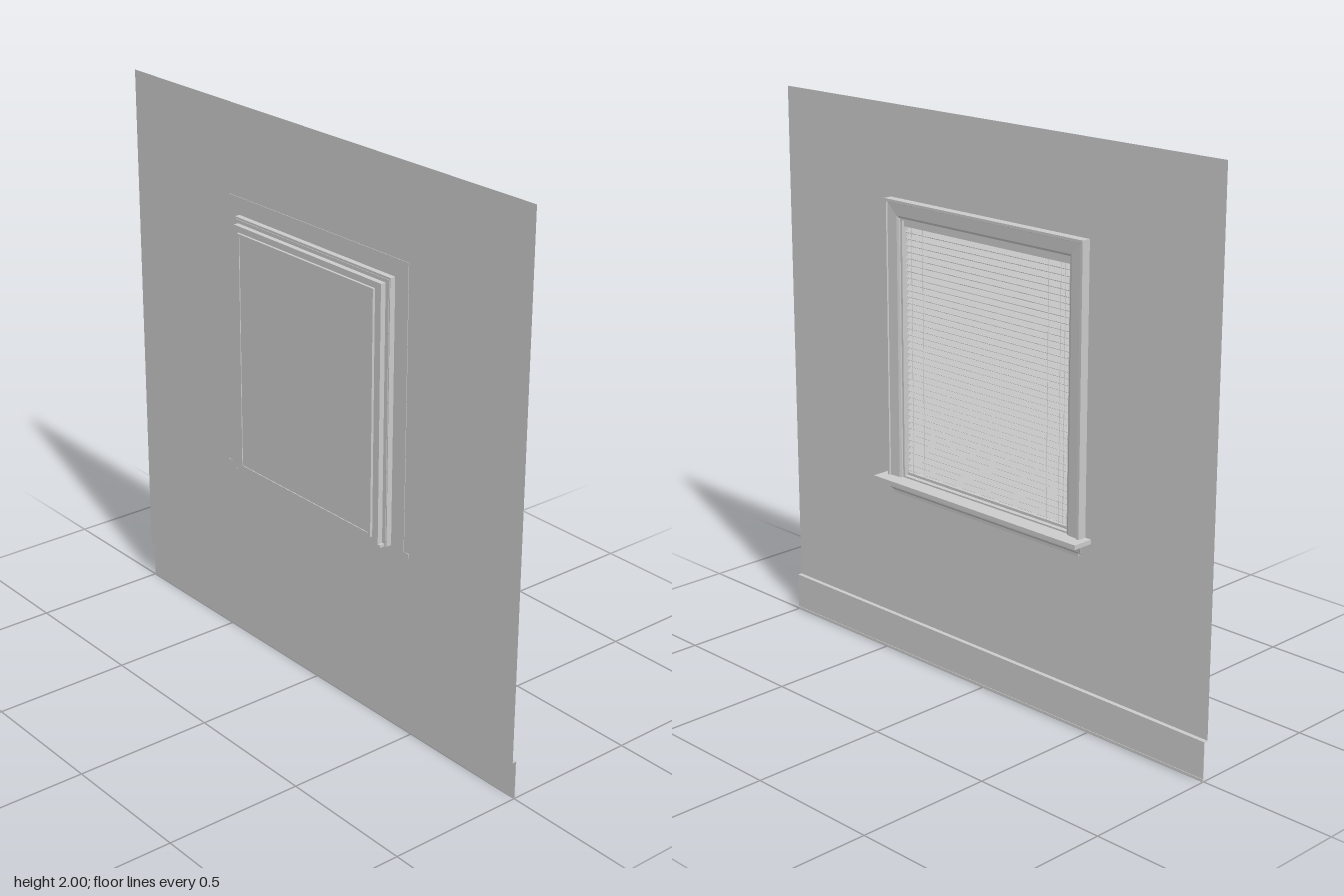
import * as THREE from 'three';

const WALL = -0.013; // x of the wall plane; the room side is +x

export function createModel() {
  const group = new THREE.Group();
  const mat = new THREE.MeshStandardMaterial({ color: 0xcccccc, side: THREE.DoubleSide, flatShading: true });

  const add = (name, geo, parent = group) => {
    const mesh = new THREE.Mesh(geo, mat);
    mesh.name = name;
    parent.add(mesh);
    return mesh;
  };

  // Box given by its limits on each axis
  const box = (name, x0, x1, y0, y1, z0, z1, parent) => {
    const mesh = add(name, new THREE.BoxGeometry(x1 - x0, y1 - y0, z1 - z0), parent);
    mesh.position.set((x0 + x1) / 2, (y0 + y1) / 2, (z0 + z1) / 2);
    return mesh;
  };

  const rect = (Type, w, y0, y1) => {
    const s = new Type();
    s.moveTo(-w, y0);
    s.lineTo(w, y0);
    s.lineTo(w, y1);
    s.lineTo(-w, y1);
    s.closePath();
    return s;
  };

  // Rectangular ring in the wall plane, extruded from x0 to x1
  const ring = (name, x0, x1, w, y0, y1, iw, iy0, iy1) => {
    const s = rect(THREE.Shape, w, y0, y1);
    s.holes.push(rect(THREE.Path, iw, iy0, iy1));
    const geo = new THREE.ExtrudeGeometry(s, { depth: x1 - x0, bevelEnabled: false });
    geo.rotateY(Math.PI / 2).translate(x0, 0, 0);
    return add(name, geo);
  };

  // Wall with the window opening
  const wall = rect(THREE.Shape, 1, 0.14, 2);
  wall.holes.push(rect(THREE.Path, 0.43, 0.66, 1.65));
  add('wall', new THREE.ShapeGeometry(wall).rotateY(Math.PI / 2).translate(WALL, 0, 0));

  // Baseboard with a ledge on top and a shoe at the floor
  box('baseboard', 0.001, 0.003, 0, 0.14, -1, 1);
  box('baseboardLedge', WALL, 0.003, 0.138, 0.14, -1, 1);
  box('baseboardShoe', 0.001, 0.005, 0, 0.01, -1, 1);

  // Moulded casing: one profile of [distance from opening, x], mitred round three sides
  const profile = [[0, -0.015], [0, 0.008], [0.008, 0.012], [0.05, 0.015], [0.052, 0.02], [0.062, 0.02], [0.062, -0.015]];
  const corners = [[-1, 0], [-1, 1], [1, 1], [1, 0]];
  const verts = [], index = [];
  corners.forEach(([side, top]) => profile.forEach(([d, x]) => {
    verts.push(x, top ? 1.617 + d : 0.682, side * (0.4 + d));
  }));
  const n = profile.length;
  for (let c = 0; c < 3; c++) {
    for (let i = 0; i < n; i++) {
      const a = c * n + i, b = c * n + (i + 1) % n;
      index.push(a, a + n, b, b, a + n, b + n);
    }
  }
  const casing = new THREE.BufferGeometry();
  casing.setAttribute('position', new THREE.Float32BufferAttribute(verts, 3));
  casing.setIndex(index);
  casing.computeVertexNormals();
  add('casing', casing);

  // Sill board, reaching back into the opening
  box('sill', -0.015, 0.064, 0.666, 0.682, -0.487, 0.487);
  box('innerSill', -0.055, -0.015, 0.68, 0.69, -0.39, 0.39);

  // Apron moulding under the sill, with ends tapering downwards
  const apronProfile = new THREE.Shape([[WALL, 0.667], [0.026, 0.667], [0.024, 0.656], [0.014, 0.648],
    [0.012, 0.635], [0.004, 0.626], [0.003, 0.615], [WALL, 0.615]].map(p => new THREE.Vector2(...p)));
  const apron = new THREE.ExtrudeGeometry(apronProfile, { depth: 0.94, bevelEnabled: false }).translate(0, 0, -0.47);
  const p = apron.attributes.position;
  for (let i = 0; i < p.count; i++) {
    p.setZ(i, Math.sign(p.getZ(i)) * (0.442 + Math.max(0, p.getX(i)) * 1.1));
  }
  apron.computeVertexNormals();
  add('apron', apron);

  // Stepped jamb, outer frame and sash behind the wall
  ring('jamb', -0.035, 0.002, 0.4, 0.682, 1.617, 0.392, 0.688, 1.609);
  ring('outerFrame', -0.056, -0.035, 0.38, 0.685, 1.597, 0.36, 0.7, 1.58);
  ring('jambReturn', -0.037, -0.033, 0.396, 0.685, 1.61, 0.365, 0.7, 1.59);
  ring('sash', -0.065, -0.05, 0.352, 0.708, 1.575, 0.34, 0.72, 1.563);
  ring('sashStop', -0.056, -0.05, 0.365, 0.695, 1.585, 0.345, 0.715, 1.57);
  box('glass', -0.062, -0.06, 0.715, 1.57, -0.345, 0.345);

  // Venetian blind: head rail, tilted slats, bottom rail and ladder cords
  const blind = new THREE.Group();
  blind.name = 'blind';
  group.add(blind);
  box('headRail', -0.03, -0.004, 1.588, 1.608, -0.388, 0.388, blind);
  box('bottomRail', -0.026, -0.008, 0.692, 0.701, -0.386, 0.386, blind);
  const slats = 39, pitch = 0.0226;
  for (let i = 0; i < slats; i++) {
    const slat = add('slat', new THREE.BoxGeometry(0.022, 0.0012, 0.772), blind);
    slat.position.set(-0.017, 0.716 + i * pitch, 0);
    slat.rotation.z = -0.75;
  }
  for (const z of [0.355, 0.3, -0.29, -0.345, -0.365]) {
    for (const x of [-0.026, -0.008]) {
      const cord = add('ladderCord', new THREE.CylinderGeometry(0.001, 0.001, 0.89, 5), blind);
      cord.position.set(x, 1.145, z);
    }
  }
  return group;
}
